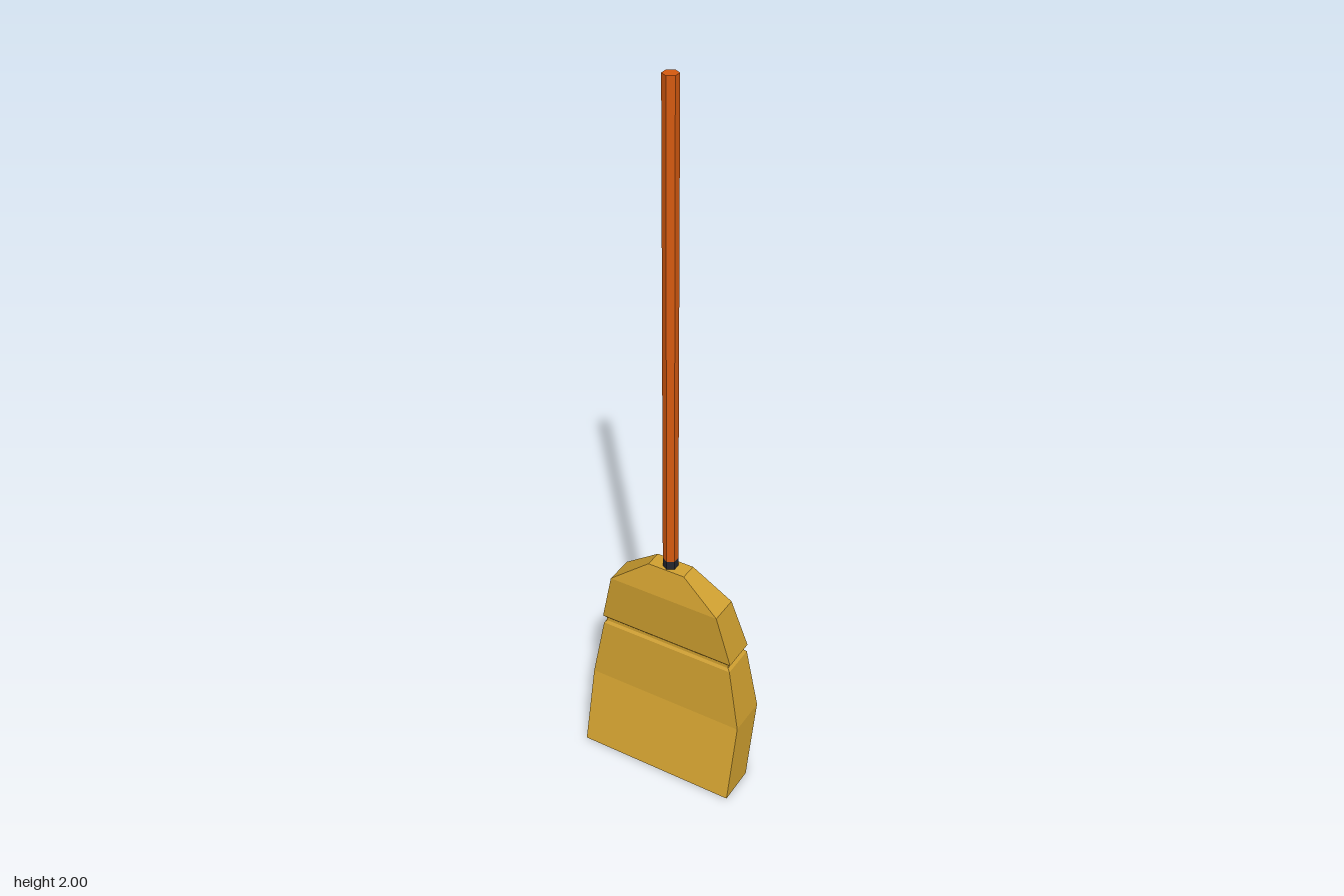
import * as THREE from 'three';

const straw = new THREE.MeshStandardMaterial({ color: 0xd0a030 });
straw.name = 'straw';
const wood = new THREE.MeshStandardMaterial({ color: 0xd4590f });
wood.name = 'orangeWood';
const dark = new THREE.MeshStandardMaterial({ color: 0x23262e });
dark.name = 'darkCollar';

// Rectangular cross-sections, bottom to top: [y, halfWidth, zBack, zFront]
const SECTIONS = [
  [0, 0.228, -0.03, 0.08],
  [0.22, 0.228, -0.083, 0.03],
  [0.405, 0.195, -0.074, 0.022],
  [0.413, 0.188, -0.068, 0.017],
  [0.423, 0.188, -0.067, 0.017],
  [0.43, 0.197, -0.073, 0.023],
  [0.585, 0.16, -0.045, 0.036],
  [0.667, 0.053, -0.029, 0.019],
];

// Joins the sections into a closed, faceted solid
function loftBoxes(sections) {
  const pos = [];
  const index = [];
  for (const [y, w, back, front] of sections) {
    pos.push(-w, y, front, w, y, front, w, y, back, -w, y, back);
  }
  for (let s = 0; s < sections.length - 1; s++) {
    for (let i = 0; i < 4; i++) {
      const a = s * 4 + i;
      const b = s * 4 + (i + 1) % 4;
      index.push(a, b, b + 4, a, b + 4, a + 4);
    }
  }
  const t = (sections.length - 1) * 4;
  index.push(0, 2, 1, 0, 3, 2, t, t + 1, t + 2, t, t + 2, t + 3);
  const geo = new THREE.BufferGeometry();
  geo.setAttribute('position', new THREE.Float32BufferAttribute(pos, 3));
  geo.setIndex(index);
  const flat = geo.toNonIndexed();
  flat.computeVertexNormals();
  return flat;
}

// Six-sided rod between two heights
function hexRod(name, radius, y0, y1, material) {
  const geo = new THREE.CylinderGeometry(radius, radius, y1 - y0, 6).toNonIndexed();
  geo.computeVertexNormals();
  const mesh = new THREE.Mesh(geo, material);
  mesh.name = name;
  mesh.position.set(0, (y0 + y1) / 2, -0.004);
  return mesh;
}

export function createModel() {
  const broom = new THREE.Group();
  broom.name = 'broom';

  // Swept bristle bundle with a binding groove
  const bristles = new THREE.Mesh(loftBoxes(SECTIONS), straw);
  bristles.name = 'bristles';

  // Collar and long handle
  broom.add(
    bristles,
    hexRod('collar', 0.02, 0.65, 0.693, dark),
    hexRod('handle', 0.02, 0.693, 2, wood),
  );
  return broom;
}
